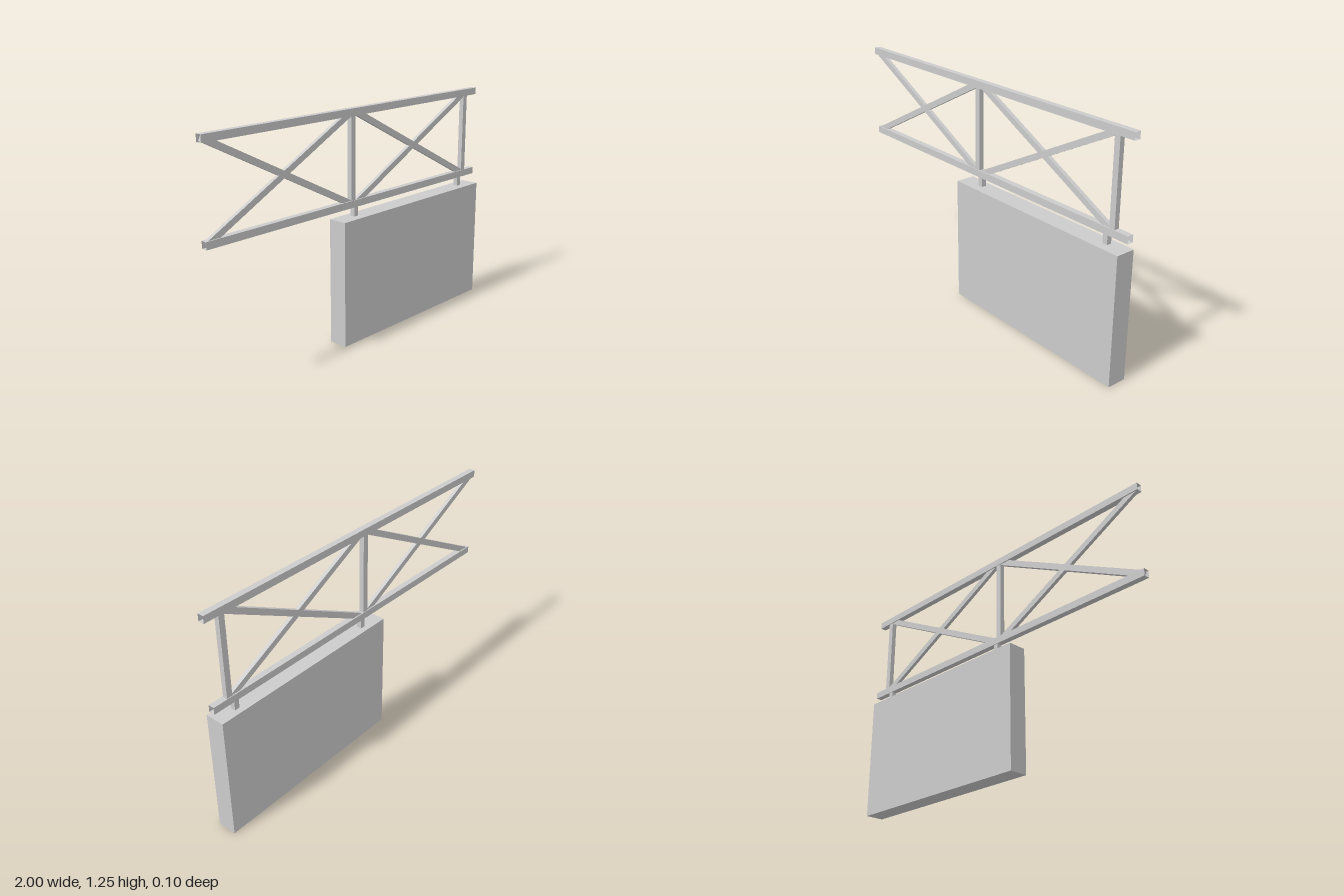
import * as THREE from 'three';

export function createModel() {
  const model = new THREE.Group();
  const grey = new THREE.MeshStandardMaterial({ color: 0xcccccc, flatShading: true });
  const open = new THREE.MeshStandardMaterial({ color: 0xcccccc, flatShading: true, side: THREE.DoubleSide });

  const low = 0.751, high = 1.227; // centre lines of the two chords
  const frameZ = -0.007; // the truss hangs slightly behind the panel's middle

  function add(name, geometry, x, y, z, material = grey) {
    const mesh = new THREE.Mesh(geometry, material);
    mesh.name = name;
    mesh.position.set(x, y, z);
    model.add(mesh);
    return mesh;
  }

  // Chords: square tubes with open ends
  for (const [name, y] of [['lowerChord', low], ['upperChord', high]]) {
    const tube = new THREE.CylinderGeometry(Math.SQRT1_2, Math.SQRT1_2, 2, 4, 1, true);
    tube.rotateY(Math.PI / 4).rotateZ(Math.PI / 2).scale(1, 0.038, 0.033);
    add(name, tube, 0, y, frameZ, open);
  }

  // Upright posts between the chord centres
  for (const x of [-0.051, 0.901]) {
    add('post', new THREE.BoxGeometry(0.032, high - low, 0.027), x, (low + high) / 2, frameZ);
  }

  // Crossed braces in each bay
  const run = 0.93, rise = high - low;
  for (const x of [-0.522, 0.438]) {
    for (const side of [-1, 1]) {
      const brace = add('brace', new THREE.BoxGeometry(Math.hypot(run, rise), 0.032, 0.02), x, (low + high) / 2, frameZ);
      brace.rotation.z = side * Math.atan2(rise, run);
    }
  }

  // Short hangers from the lower chord to the panel
  for (const x of [-0.03, 0.864]) {
    add('hanger', new THREE.BoxGeometry(0.028, low - 0.68, 0.027), x, (low + 0.68) / 2, frameZ);
  }

  // Hanging sign panel
  add('panel', new THREE.BoxGeometry(1.15, 0.682, 0.105), 0.409, 0.341, 0);

  return model;
}
